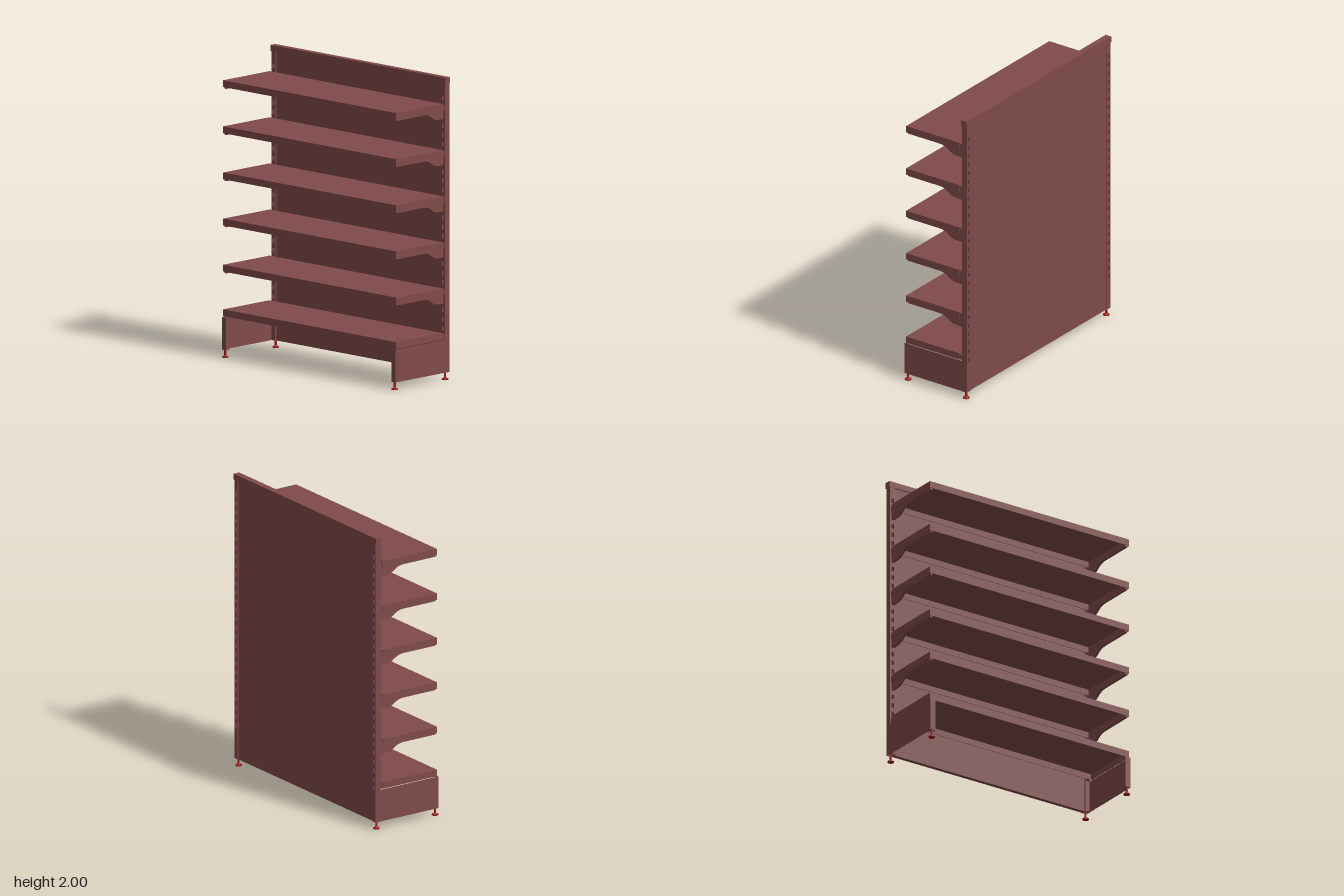
import * as THREE from 'three';

const body = new THREE.MeshStandardMaterial({ color: 0x804a4a, side: THREE.DoubleSide });
const red = new THREE.MeshStandardMaterial({ color: 0x991c1c });

// Box given by its min and max corners
function box(parent, name, [x0, y0, z0], [x1, y1, z1]) {
  const mesh = new THREE.Mesh(new THREE.BoxGeometry(x1 - x0, y1 - y0, z1 - z0), body);
  mesh.position.set((x0 + x1) / 2, (y0 + y1) / 2, (z0 + z1) / 2);
  mesh.name = name;
  parent.add(mesh);
  return mesh;
}

function rect(target, x0, y0, x1, y1) {
  target.moveTo(x0, y0);
  target.lineTo(x1, y0);
  target.lineTo(x1, y1);
  target.lineTo(x0, y1);
  target.closePath();
  return target;
}

// Hollow upright with a column of slots through its front and back walls
function makePost() {
  const post = new THREE.Group();
  post.name = 'post';
  const x0 = 0.752, x1 = 0.79, y0 = 0.05, y1 = 1.96, wall = 0.004;
  const shape = rect(new THREE.Shape(), x0, y0, x1, y1);
  for (let i = 0; i < 27; i++) {
    const y = 1.865 - i * 0.061;
    shape.holes.push(rect(new THREE.Path(), 0.76, y - 0.015, 0.777, y + 0.015));
  }
  const slotted = new THREE.ExtrudeGeometry(shape, { depth: wall, bevelEnabled: false });
  for (const z of [-0.255, -0.215 - wall]) {
    const mesh = new THREE.Mesh(slotted, body);
    mesh.name = 'slottedWall';
    mesh.position.z = z;
    post.add(mesh);
  }
  box(post, 'innerWall', [x0, y0, -0.251], [x0 + wall, y1, -0.219]);
  box(post, 'outerWall', [x1 - wall, y0, -0.251], [x1, y1, -0.219]);
  return post;
}

// Shelf bracket, profile drawn as (z, y) relative to the shelf top
function makeBracket() {
  const s = new THREE.Shape();
  s.moveTo(0.228, -0.006);
  s.lineTo(0.228, -0.055);
  s.lineTo(-0.03, -0.055);
  s.bezierCurveTo(-0.1, -0.058, -0.1, -0.1, -0.16, -0.102);
  s.lineTo(-0.212, -0.104);
  s.lineTo(-0.212, -0.006);
  s.closePath();
  const geo = new THREE.ExtrudeGeometry(s, { depth: 0.018, bevelEnabled: false, curveSegments: 10 });
  geo.rotateY(-Math.PI / 2);
  const mesh = new THREE.Mesh(geo, body);
  mesh.position.x = 0.779;
  mesh.name = 'bracket';
  return mesh;
}

// Sheet shelf folded down on all four edges, open below
function makeShelf(withBrackets) {
  const shelf = new THREE.Group();
  shelf.name = 'shelf';
  const w = 0.787, zb = -0.195, zf = 0.235, t = 0.004, drop = -0.045;
  box(shelf, 'shelfTop', [-w, -t, zb], [w, 0, zf]);
  box(shelf, 'frontLip', [-w, drop, zf - t], [w, -t, zf]);
  box(shelf, 'backLip', [-w, drop, zb], [w, -t, zb + t]);
  for (const s of [-1, 1]) {
    const side = new THREE.Group();
    side.name = 'shelfSide';
    box(side, 'sideLip', [w - t, drop, zb + t], [w, -t, zf - t]);
    box(side, 'hook', [0.755, -0.045, -0.216], [0.782, -0.007, zb]);
    if (withBrackets) side.add(makeBracket());
    side.scale.x = s;
    shelf.add(side);
  }
  return shelf;
}

// Levelling foot: round pad, cone and threaded stem
function makeFoot(z) {
  const pts = [[0, 0], [0.022, 0], [0.022, 0.006], [0.009, 0.013], [0.007, 0.016], [0.007, 0.056], [0, 0.056]];
  const geo = new THREE.LatheGeometry(pts.map(p => new THREE.Vector2(...p)), 16);
  const mesh = new THREE.Mesh(geo.toNonIndexed(), red);
  mesh.geometry.computeVertexNormals();
  mesh.position.set(0.77, 0, z);
  mesh.name = 'foot';
  return mesh;
}

// Base side: thin plate with flanges turned inwards
function makeBase() {
  const base = new THREE.Group();
  base.name = 'baseSide';
  box(base, 'basePlate', [0.783, 0.05, -0.215], [0.789, 0.265, 0.245]);
  box(base, 'baseFrontFlange', [0.752, 0.05, 0.239], [0.783, 0.265, 0.245]);
  box(base, 'baseBackFlange', [0.752, 0.05, -0.215], [0.783, 0.265, -0.21]);
  box(base, 'footTab', [0.752, 0.05, 0.21], [0.783, 0.055, 0.239]);
  return base;
}

export function createModel() {
  const model = new THREE.Group();
  model.name = 'shelvingUnit';

  // Back wall and top rail
  box(model, 'backPanel', [-0.752, 0.05, -0.25], [0.752, 1.96, -0.222]);
  box(model, 'topRail', [-0.795, 1.96, -0.257], [0.795, 2.0, -0.213]);

  // Mirrored uprights, base sides and feet
  for (const s of [-1, 1]) {
    const side = new THREE.Group();
    side.name = s > 0 ? 'leftFrame' : 'rightFrame';
    side.add(makePost(), makeBase(), makeFoot(0.232), makeFoot(-0.235));
    side.scale.x = s;
    model.add(side);
  }

  // Base shelf and five bracketed shelves
  for (let i = 0; i < 6; i++) {
    const shelf = makeShelf(i > 0);
    shelf.position.y = i === 0 ? 0.315 : 0.61 + (i - 1) * 0.305;
    model.add(shelf);
  }
  return model;
}
